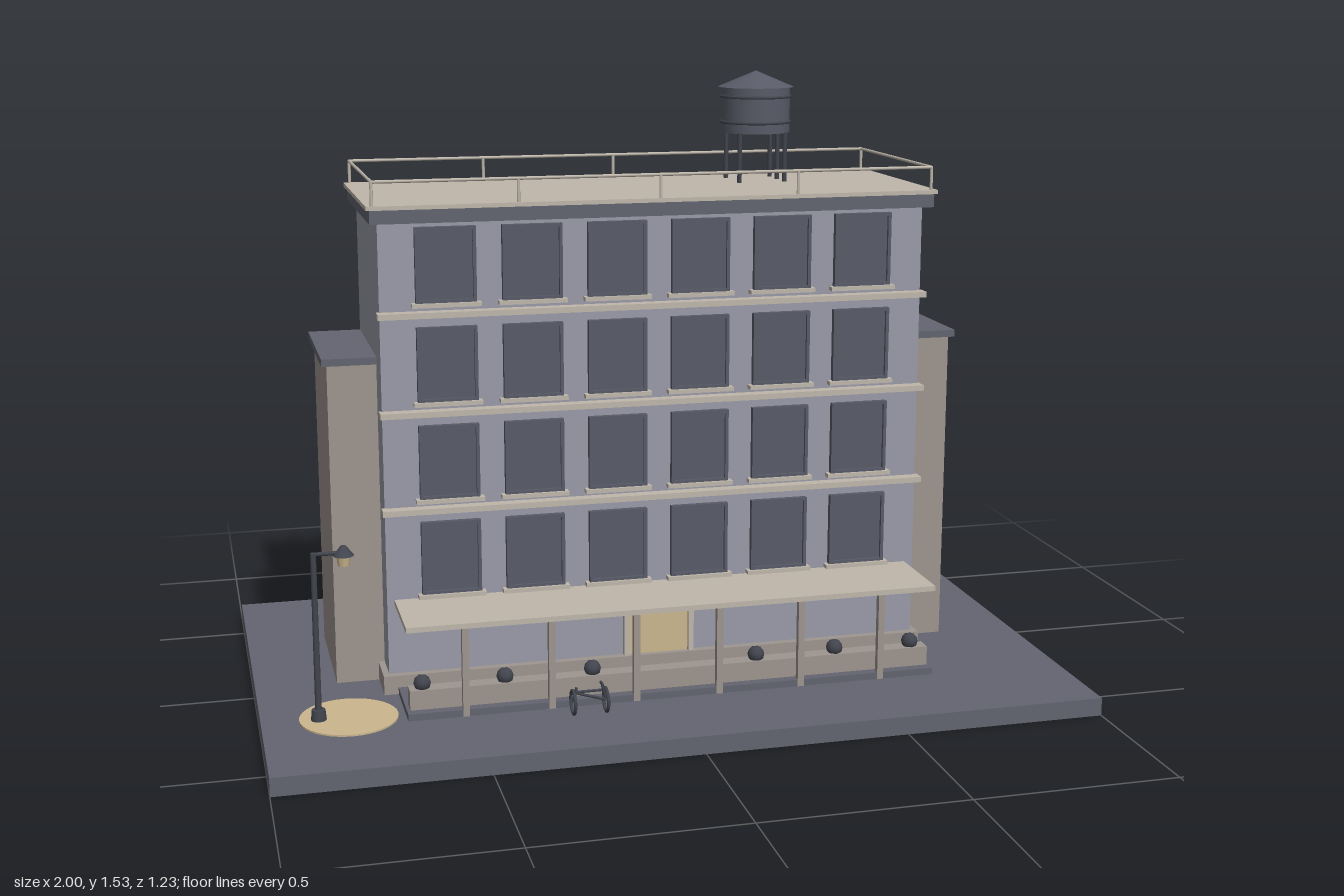
import * as THREE from 'three';

const mat = (name, color, extra = {}) => {
  const m = new THREE.MeshStandardMaterial({ color, ...extra });
  m.name = name;
  return m;
};

export function createModel() {
  const root = new THREE.Group();
  root.name = 'apartmentBlock';

  const slate = mat('slate', 0x636570);
  const wall = mat('wallGrey', 0x9a9ba8);
  const stone = mat('brownStone', 0x9e958f);
  const trim = mat('paleTrim', 0xbfb7ab);
  const glass = mat('darkGlass', 0x585b67);
  const glow = mat('warmLight', 0xcbb78f);
  const metal = mat('darkMetal', 0x42454e);

  const add = (name, geo, m, x = 0, y = 0, z = 0, parent = root) => {
    const mesh = new THREE.Mesh(geo, m);
    mesh.name = name;
    mesh.position.set(x, y, z);
    parent.add(mesh);
    return mesh;
  };
  // Box given by its limits on each axis
  const box = (name, m, x0, x1, y0, y1, z0, z1, parent = root) =>
    add(name, new THREE.BoxGeometry(x1 - x0, y1 - y0, z1 - z0), m,
      (x0 + x1) / 2, (y0 + y1) / 2, (z0 + z1) / 2, parent);
  // Upright cylinder or cone from y0 to y1
  const post = (name, m, x, z, y0, y1, r0, r1 = r0, sides = 12, parent = root) =>
    add(name, new THREE.CylinderGeometry(r1, r0, y1 - y0, sides), m, x, (y0 + y1) / 2, z, parent);
  // Thin round bar between two points
  const bar = (name, m, a, b, r, parent = root) => {
    const p = new THREE.Vector3(...a), q = new THREE.Vector3(...b);
    const mesh = add(name, new THREE.CylinderGeometry(r, r, p.distanceTo(q), 8), m, 0, 0, 0, parent);
    mesh.position.copy(p).add(q).multiplyScalar(0.5);
    mesh.quaternion.setFromUnitVectors(new THREE.Vector3(0, 1, 0), q.sub(p).normalize());
    return mesh;
  };
  const group = (name) => {
    const g = new THREE.Group();
    g.name = name;
    root.add(g);
    return g;
  };

  // Ground slab and main block
  const G = 0.045;
  box('groundSlab', slate, -1, 1, 0, G, -0.615, 0.615);
  box('mainBlock', wall, -0.68, 0.68, G, 1.205, -0.305, 0.155);
  box('plinth', stone, -0.695, 0.695, G, 0.092, -0.325, 0.175);
  box('cornice', slate, -0.7, 0.7, 1.203, 1.236, -0.333, 0.183);
  box('roofSlab', trim, -0.708, 0.708, 1.236, 1.246, -0.34, 0.188);

  // Side wings with caps
  for (const s of [-1, 1]) {
    const w = group(s > 0 ? 'leftWing' : 'rightWing');
    box('wingBody', stone, Math.min(s * 0.67, s * 0.8), Math.max(s * 0.67, s * 0.8), G, 0.85, -0.292, 0.063, w);
    box('wingCap', slate, Math.min(s * 0.67, s * 0.813), Math.max(s * 0.67, s * 0.813), 0.85, 0.868, -0.304, 0.073, w);
  }

  // Windows with frames and sills, four floors of six
  const windows = group('windows');
  for (let r = 0; r < 4; r++) {
    const y = 0.382 + r * 0.2395;
    for (let c = 0; c < 6; c++) {
      const x = (c - 2.5) * 0.2085;
      box('windowGlass', glass, x - 0.07, x + 0.07, y - 0.088, y + 0.088, 0.15, 0.162, windows);
      for (const s of [-1, 1]) {
        box('frameSide', glass, x + s * 0.069 - 0.004, x + s * 0.069 + 0.004, y - 0.09, y + 0.09, 0.15, 0.17, windows);
        box('frameRail', glass, x - 0.073, x + 0.073, y + s * 0.087 - 0.004, y + s * 0.087 + 0.004, 0.15, 0.17, windows);
      }
      box('windowSill', trim, x - 0.083, x + 0.083, y - 0.1, y - 0.09, 0.15, 0.178, windows);
    }
    // Belt course between floors
    if (r) box('beltCourse', trim, -0.687, 0.687, y - 0.124, y - 0.11, 0.15, 0.185);
  }

  // Door
  box('door', glow, -0.076, 0.076, G, 0.262, 0.15, 0.16);
  for (const s of [-1, 1]) box('doorFrame', trim, s * 0.083 - 0.007, s * 0.083 + 0.007, G, 0.268, 0.15, 0.17);
  
  // Porch: deck, canopy, posts, lamps and planter
  const porch = group('porch');
  box('deck', slate, -0.66, 0.66, G, 0.062, 0.15, 0.36, porch);
  box('canopy', trim, -0.662, 0.658, 0.267, 0.28, 0.15, 0.37, porch);
  for (let c = 0; c < 6; c++) {
    const x = (c - 2.5) * 0.2085;
    box('canopyPost', stone, x - 0.008, x + 0.008, G, 0.268, 0.345, 0.361, porch);
  }
  for (const x of [-0.415, 0, 0.415]) post('canopyLamp', glow, x, 0.325, 0.256, 0.268, 0.012, 0.012, 12, porch);
  box('planter', stone, -0.652, 0.655, 0.06, 0.11, 0.295, 0.335, porch);
  for (const x of [-0.62, -0.42, -0.205, 0.21, 0.415, 0.615]) {
    add('shrub', new THREE.IcosahedronGeometry(0.021, 1), metal, x, 0.122, 0.315, porch);
  }

  // Roof railing
  const railing = group('roofRailing');
  const X = 0.693, Z0 = -0.328, Z1 = 0.178, top = 1.302;
  for (const z of [Z0, Z1]) {
    bar('rail', trim, [-X, top, z], [X, top, z], 0.004, railing);
    for (let i = -2; i <= 2; i++) post('railPost', trim, i * X / 2, z, 1.24, top, 0.004, 0.004, 8, railing);
  }
  for (const x of [-X, X]) bar('rail', trim, [x, top, Z0], [x, top, Z1], 0.004, railing);

  // Water tank
  const tank = group('waterTank');
  const tx = 0.337, tz = -0.152;
  post('tankBody', glass, tx, tz, 1.37, 1.488, 0.088, 0.088, 20, tank);
  post('tankRoof', glass, tx, tz, 1.486, 1.526, 0.098, 0.002, 20, tank);
  for (const y of [1.397, 1.462]) {
    const band = add('tankBand', new THREE.TorusGeometry(0.089, 0.004, 6, 24), metal, tx, y, tz, tank);
    band.rotation.x = Math.PI / 2;
  }
  for (const [dx, dz] of [[-1, -1], [-1, 1], [1, -1], [1, 1], [1, 0]]) {
    post('tankLeg', metal, tx + dx * 0.06, tz + dz * 0.062, 1.24, 1.372, 0.006, 0.006, 8, tank);
  }

  // Street lamp with its pool of light
  const lamp = group('streetLamp');
  post('lightPool', glow, -0.794, 0.302, G, G + 0.004, 0.117, 0.117, 40, lamp);
  post('lampFoot', metal, -0.865, 0.306, G, 0.075, 0.019, 0.016, 12, lamp);
  post('lampPole', metal, -0.865, 0.306, G, 0.458, 0.008, 0.007, 10, lamp);
  bar('lampArm', metal, [-0.869, 0.455, 0.306], [-0.795, 0.455, 0.306], 0.005, lamp);
  post('lampGlass', glow, -0.795, 0.306, 0.424, 0.45, 0.014, 0.018, 10, lamp);
  post('lampHood', metal, -0.795, 0.306, 0.448, 0.472, 0.025, 0.006, 12, lamp);

  // Bicycle
  const bike = group('bicycle');
  const bz = 0.415, by = 0.078;
  for (const x of [-0.274, -0.194]) {
    const wheel = add('wheel', new THREE.TorusGeometry(0.028, 0.004, 8, 24), metal, x, by, bz, bike);
    wheel.rotation.y = Math.PI / 2;
  }
  bar('frameTube', metal, [-0.274, by + 0.025, bz], [-0.204, by + 0.025, bz], 0.0035, bike);
  bar('frameTube', metal, [-0.274, by + 0.025, bz], [-0.194, by, bz], 0.0035, bike);
  bar('frameTube', metal, [-0.204, by + 0.042, bz], [-0.194, by, bz], 0.0035, bike);
  bar('seatPost', metal, [-0.274, by, bz], [-0.266, by + 0.036, bz], 0.0035, bike);
  bar('handlebar', metal, [-0.204, by + 0.04, bz - 0.014], [-0.204, by + 0.04, bz + 0.014], 0.0035, bike);

  return root;
}
